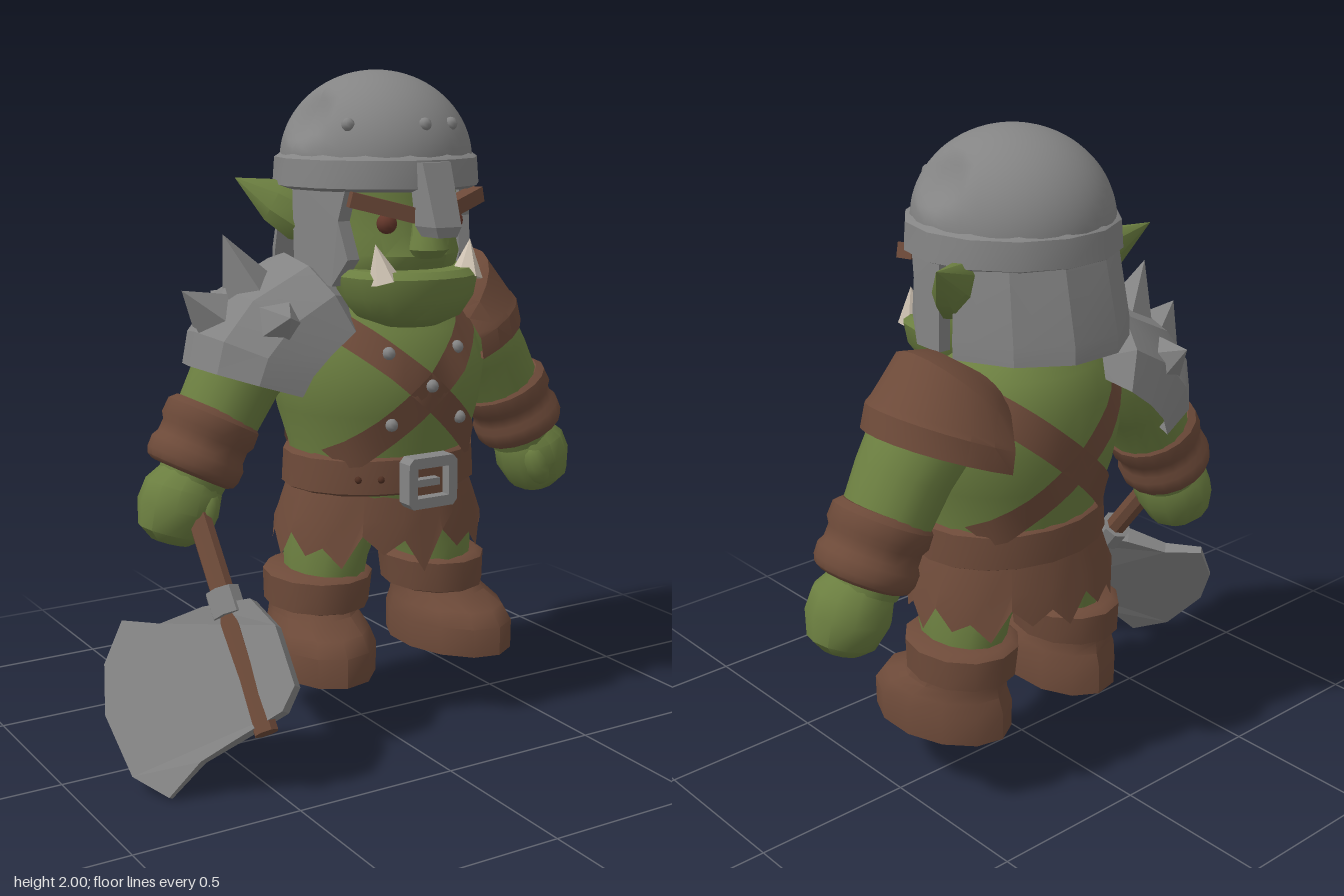
import * as THREE from 'three';
import { toCreasedNormals } from 'three/addons/utils/BufferGeometryUtils.js';

const CX = 0.09; // body's mirror plane
const V = (x, y, z) => new THREE.Vector3(x, y, z);
const outline = pts => new THREE.Shape(pts.map(p => new THREE.Vector2(...p)));
const mat = (name, color, side = THREE.FrontSide) => {
  const m = new THREE.MeshStandardMaterial({ color, side });
  m.name = name;
  return m;
};

// Grid of points (rows) to a surface; closed rows wrap round and get caps.
function skin(rows, closed, caps = closed, crease = 0.7) {
  const n = rows[0].length, pos = [], idx = [];
  rows.forEach(r => r.forEach(p => pos.push(p.x, p.y, p.z)));
  for (let j = 0; j < rows.length - 1; j++)
    for (let i = 0; i < (closed ? n : n - 1); i++) {
      const k = (i + 1) % n, a = j * n + i, b = j * n + k;
      idx.push(a, a + n, b, b, a + n, b + n);
    }
  if (caps) [0, rows.length - 1].forEach((j, top) => {
    const c = rows[j].reduce((s, p) => s.add(p), V(0, 0, 0)).divideScalar(n);
    const ci = pos.push(c.x, c.y, c.z) / 3 - 1;
    for (let i = 0; i < n; i++) {
      const a = j * n + i, b = j * n + (i + 1) % n;
      top ? idx.push(ci, b, a) : idx.push(ci, a, b);
    }
  });
  const g = new THREE.BufferGeometry();
  g.setAttribute('position', new THREE.Float32BufferAttribute(pos, 3));
  g.setIndex(idx);
  return toCreasedNormals(g, crease);
}

// Ellipse rings [x, y, z, rx, rz], from bottom to top, tilted about z.
const loft = (rings, n = 20, tilt = 0) => skin(rings.map(([x, y, z, rx, rz]) =>
  Array.from({ length: n }, (_, i) => {
    const a = i / n * Math.PI * 2, u = Math.cos(a) * rx;
    return V(x + u * Math.cos(tilt), y + u * Math.sin(tilt), z + Math.sin(a) * rz);
  })), true);

// Half arches [ax, ay, bx, by, halfDepth] bulging from a towards b.
const arches = (rows, z, n, crease) => skin(rows.map(([ax, ay, bx, by, h]) =>
  Array.from({ length: n + 1 }, (_, i) => {
    const t = i / n * Math.PI, s = Math.sin(t);
    return V(ax + (bx - ax) * s, ay + (by - ay) * s, z + Math.cos(t) * h);
  })), false, false, crease);

// Torso sections: y, half width, half depth, z centre
const TORSO = [[0.6, 0.24, 0.2, -0.05], [0.76, 0.285, 0.24, -0.045], [0.88, 0.29, 0.245, -0.045], [1.0, 0.325, 0.28, -0.05],
  [1.12, 0.345, 0.295, -0.055], [1.24, 0.32, 0.265, -0.08], [1.33, 0.25, 0.21, -0.1], [1.4, 0.15, 0.14, -0.1]];
function torsoZ(x, y, side) {
  let i = 0;
  while (i < TORSO.length - 2 && TORSO[i + 1][0] < y) i++;
  const f = (y - TORSO[i][0]) / (TORSO[i + 1][0] - TORSO[i][0]);
  const [, rx, rz, zc] = TORSO[i].map((v, k) => v + (TORSO[i + 1][k] - v) * f);
  return zc + side * (rz * Math.sqrt(Math.max(0.04, 1 - ((x - CX) / rx) ** 2)) + 0.015);
}

export function createModel() {
  const root = new THREE.Group();
  const skinM = mat('green skin', 0x6b7e40), leather = mat('brown leather', 0x6d4a39, THREE.DoubleSide);
  const steel = mat('grey steel', 0x848484, THREE.DoubleSide), ivory = mat('ivory', 0xd0c4b4);
  const dark = mat('dark brown', 0x4f2f22), eyeM = mat('eye brown', 0x63362a);
  const add = (name, g, m, p) => {
    const o = new THREE.Mesh(g, m);
    o.name = name;
    if (p) o.position.set(...p);
    root.add(o);
    return o;
  };
  // Turned shape between two points; profile is [radius, fraction of length]
  const turned = (name, from, to, profile, sides, m) => {
    const d = to.clone().sub(from), len = d.length();
    const g = new THREE.LatheGeometry(profile.map(([r, t]) => new THREE.Vector2(r, t * len)), sides);
    const o = add(name, toCreasedNormals(g, 0.7), m, from.toArray());
    o.quaternion.setFromUnitVectors(V(0, 1, 0), d.normalize());
    return o;
  };
  const rod = (name, a, b, r, sides, m) => turned(name, a, b, [[0, 0], [r, 0], [r, 1], [0, 1]], sides, m);
  const spike = (name, a, b, r, sides, m) => turned(name, a, b, [[0, 0], [r, 0], [0, 1]], sides, m);
  const rivet = (x, y, z) => add('rivet', new THREE.SphereGeometry(0.02, 8, 6), steel, [x, y, z]);

  // Torso, crossed straps front and back
  add('torso', loft(TORSO.map(([y, rx, rz, z]) => [CX, y, z, rx, rz]), 24), skinM);
  for (const f of [1, -1]) for (const s of [1, -1]) {
    const rows = [-1, 1].map(e => Array.from({ length: 15 }, (_, i) => {
      const t = i / 14, x = CX + s * (-0.29 + 0.53 * t) + s * e * 0.03, y = 1.32 - 0.46 * t + e * 0.034;
      return V(x, y, torsoZ(x, y, f));
    }));
    add('chestStrap', skin(rows, false), leather);
  }
  for (const [x, y] of [[-0.03, 1.19], [0.21, 1.19], [0.09, 1.09], [-0.03, 0.98], [0.21, 0.98]])
    rivet(x, y, torsoZ(x, y, 1));

  // Belt, buckle and ragged skirt
  add('belt', loft([[CX, 0.755, -0.045, 0.295, 0.24], [CX, 0.765, -0.045, 0.314, 0.26], [CX, 0.865, -0.045, 0.308, 0.256],
    [CX, 0.88, -0.045, 0.285, 0.235]], 18), leather);
  const frame = outline([[-0.085, -0.06], [-0.07, -0.077], [0.07, -0.077], [0.085, -0.06], [0.085, 0.06], [0.07, 0.077],
    [-0.07, 0.077], [-0.085, 0.06]]);
  frame.holes.push(outline([[-0.055, -0.045], [-0.055, 0.045], [0.055, 0.045], [0.055, -0.045]]));
  add('buckle', new THREE.ExtrudeGeometry(frame, { depth: 0.055, bevelEnabled: false }), steel, [CX, 0.802, 0.21]);
  add('bucklePlate', new THREE.BoxGeometry(0.12, 0.1, 0.03), leather, [CX, 0.802, 0.215]);
  add('buckleProng', new THREE.BoxGeometry(0.08, 0.022, 0.03), steel, [CX - 0.015, 0.802, 0.245]);
  for (const x of [-0.105, -0.045])
    add('beltHole', new THREE.SphereGeometry(0.011, 8, 6), dark, [x, 0.81, -0.045 + 0.258 * Math.sqrt(1 - ((x - CX) / 0.31) ** 2)]);
  const HEM = [0.55, 0.62, 0.58, 0.64, 0.54, 0.6, 0.57, 0.635];
  add('skirt', skin([0, 1, 2].map(k => Array.from({ length: 32 }, (_, i) => {
    const a = i / 32 * Math.PI * 2, hem = i === 8 ? 0.515 : HEM[i % 8];
    const y = [hem, 0.68, 0.78][k], r = [1, 0.95, 0.85][k];
    return V(CX + Math.cos(a) * 0.345 * r, y, -0.05 + Math.sin(a) * 0.27 * r);
  })), true, false), leather);

  for (const s of [1, -1]) {
    const X = d => CX + s * d;
    // Leg and boot
    add('leg', loft([[X(0.2), 0.42, -0.05, 0.11, 0.14], [X(0.19), 0.55, -0.05, 0.12, 0.165], [X(0.14), 0.7, -0.05, 0.14, 0.18]], 14), skinM);
    const foot = add('boot', loft([[0, 0.2, 0.02, 0.16, 0.24], [0, 0.29, 0.02, 0.163, 0.24], [0, 0.335, 0.01, 0.148, 0.215],
      [0, 0.37, -0.03, 0.133, 0.17], [0, 0.42, -0.05, 0.13, 0.15]], 12), leather, [X(0.236), 0, -0.025]);
    foot.rotation.y = s * 0.16;
    add('bootCuff', loft([[X(0.215), 0.38, -0.065, 0.13, 0.16], [X(0.215), 0.39, -0.065, 0.155, 0.185],
      [X(0.21), 0.485, -0.065, 0.162, 0.192], [X(0.21), 0.5, -0.065, 0.14, 0.168]], 12), leather);
    // Arm, hand and wrapped bracer
    const tilt = s * 0.47, Z = -0.122;
    add('arm', loft([[X(0.61), 0.8, Z, 0.1, 0.11], [X(0.525), 0.976, Z, 0.125, 0.135], [X(0.455), 1.1, Z, 0.135, 0.145],
      [X(0.38), 1.2, Z, 0.15, 0.155], [X(0.31), 1.31, Z, 0.12, 0.13], [X(0.28), 1.36, Z, 0.05, 0.06]], 18, tilt), skinM);
    const along = (t, r) => [X(0.565 - 0.453 * t), 0.92 + 0.89 * t, Z, r, r + 0.005];
    add('bracer', loft([along(-0.105, 0.12), along(-0.095, 0.138), along(-0.075, 0.146), along(-0.04, 0.147), along(-0.02, 0.136),
      along(0.015, 0.135), along(0.035, 0.147), along(0.08, 0.145), along(0.1, 0.125)], 18, tilt), leather);
    add('hand', loft([[X(0.685), 0.63, -0.115, 0.06, 0.06], [X(0.68), 0.66, -0.115, 0.1, 0.1], [X(0.655), 0.73, -0.115, 0.122, 0.127],
      [X(0.635), 0.79, -0.115, 0.115, 0.12], [X(0.605), 0.84, -0.12, 0.085, 0.09]], 12, s * 0.3), skinM);
    const thumb = add('thumb', new THREE.SphereGeometry(1, 10, 8), skinM, [X(0.61), 0.72, -0.035]);
    thumb.scale.set(0.042, 0.075, 0.045);
    thumb.rotation.z = s * 0.4;
    // Leaf-shaped ear, eye, brow and tusk
    turned('ear', V(X(0.17), 1.54, -0.085), V(X(0.4), 1.685, -0.215), [[0.06, 0], [0.092, 0.25], [0.075, 0.55], [0, 1]], 8, skinM).scale.z = 0.65;
    add('eye', new THREE.SphereGeometry(0.03, 10, 8), eyeM, [X(0.115), 1.565, 0.182]);
    const brow = add('brow', new THREE.BoxGeometry(0.2, 0.045, 0.05), leather, [X(0.13), 1.612, 0.185]);
    brow.rotation.set(0, s * 0.35, s * 0.25);
    spike('tusk', V(X(0.142), 1.4, 0.215), V(X(0.165), 1.51, 0.2), 0.05, 6, ivory);
    // Cheek guard, sheared so its front edge turns in
    const cheek = new THREE.ExtrudeGeometry(outline([[0.13, 1.69], [0.1, 1.57], [0.13, 1.46], [0.08, 1.38], [-0.07, 1.4],
      [-0.08, 1.69]]), { depth: 0.04, bevelEnabled: false });
    const cp = cheek.attributes.position;
    for (let i = 0; i < cp.count; i++) {
      const z = cp.getX(i), d = 0.24 + cp.getZ(i) - Math.max(0, z) * 0.5;
      cp.setXYZ(i, X(d), cp.getY(i), z);
    }
    if (s > 0) { // keep faces outward on the mirrored side
      for (let i = 0; i < cp.count; i += 3) {
        const a = [cp.getX(i), cp.getY(i), cp.getZ(i)];
        cp.setXYZ(i, cp.getX(i + 1), cp.getY(i + 1), cp.getZ(i + 1));
        cp.setXYZ(i + 1, ...a);
      }
    }
    cheek.computeVertexNormals();
    add('cheekGuard', cheek, steel);
  }

  // Head, jaw and nose
  add('head', loft([[CX, 1.3, -0.08, 0.15, 0.16], [CX, 1.4, -0.02, 0.2, 0.23], [CX, 1.47, -0.02, 0.215, 0.255], [CX, 1.53, -0.03, 0.21, 0.235],
    [CX, 1.64, -0.04, 0.22, 0.25], [CX, 1.74, -0.05, 0.22, 0.25]], 20), skinM);
  add('jaw', loft([[CX, 1.26, 0.11, 0.1, 0.1], [CX, 1.29, 0.11, 0.165, 0.16], [CX, 1.35, 0.11, 0.21, 0.19], [CX, 1.41, 0.11, 0.222, 0.2],
    [CX, 1.43, 0.11, 0.2, 0.18]], 16), skinM);
  add('nose', loft([[CX, 1.465, 0.22, 0.045, 0.04], [CX, 1.49, 0.225, 0.062, 0.058], [CX, 1.53, 0.22, 0.05, 0.045],
    [CX, 1.6, 0.2, 0.035, 0.03]], 10), skinM);

  // Helmet: dented dome, rim, nose guard, neck guard
  const dome = new THREE.SphereGeometry(1, 40, 20, 0, Math.PI * 2, 0, Math.PI / 2), dp = dome.attributes.position;
  const dents = [V(0.84, 0.52, 0.1), V(-0.86, 0.5, 0.05)];
  for (let i = 0; i < dp.count; i++) {
    const p = V(0, 0, 0).fromBufferAttribute(dp, i);
    const k = dents.reduce((m, d) => Math.min(m, 0.88 + 0.12 * Math.min(1, p.distanceTo(d) / 0.36) ** 2), 1);
    dp.setXYZ(i, CX + p.x * k * 0.287, 1.735 + p.y * k * 0.265, -0.065 + p.z * k * 0.298);
  }
  dome.computeVertexNormals();
  add('helmetDome', dome, steel);
  add('helmetRim', loft([[CX, 1.655, -0.062, 0.285, 0.295], [CX, 1.665, -0.062, 0.312, 0.318], [CX, 1.745, -0.062, 0.306, 0.312],
    [CX, 1.765, -0.062, 0.275, 0.285]], 14), steel);
  for (const x of [-0.11, CX, 0.195]) rivet(x, 1.845, -0.065 + 0.268 * Math.sqrt(1 - ((x - CX) / 0.262) ** 2));
  add('noseGuard', skin([[1.53, 0.04, 0.25, 0.325], [1.56, 0.055, 0.24, 0.33], [1.74, 0.06, 0.21, 0.265]].map(([y, w, a, b]) =>
    [V(CX + w, y, a), V(CX + w * 0.8, y, b), V(CX - w * 0.8, y, b), V(CX - w, y, a)]), true, true, 0.2), steel);
  add('neckGuard', skin([[1.42, 0.285, 0.325], [1.405, 0.31, 0.36], [1.46, 0.31, 0.357], [1.7, 0.285, 0.3]].map(([y, rx, rz]) =>
    Array.from({ length: 6 }, (_, i) => {
      const a = Math.PI * (1.08 + 0.84 * i / 5);
      return V(CX + Math.cos(a) * rx, y, -0.065 + Math.sin(a) * rz);
    })), false, false, 0.3), steel);

  // Left shoulder: leather cap with a rolled rim
  add('leatherShoulderPad', arches([[0.36, 1.14, 0.6, 1.235, 0.225], [0.365, 1.125, 0.635, 1.23, 0.25], [0.355, 1.19, 0.615, 1.3, 0.25],
    [0.35, 1.205, 0.598, 1.315, 0.242], [0.335, 1.25, 0.5, 1.44, 0.215], [0.31, 1.27, 0.42, 1.43, 0.18], [0.27, 1.27, 0.28, 1.34, 0.12]],
  -0.125, 12, 0.5), leather);

  // Right shoulder: steel plates with spikes
  add('steelShoulderPad', arches([[-0.26, 1.09, -0.48, 1.16, 0.21], [-0.27, 1.07, -0.52, 1.15, 0.235], [-0.24, 1.13, -0.5, 1.25, 0.245],
    [-0.18, 1.19, -0.4, 1.37, 0.25], [-0.1, 1.25, -0.2, 1.465, 0.25], [-0.06, 1.28, -0.08, 1.4, 0.18]], -0.115, 6, 0.3), steel);
  for (const [a, b, r] of [[V(-0.3, 1.27, 0.03), V(-0.325, 1.31, 0.15), 0.1], [V(-0.3, 1.27, -0.27), V(-0.32, 1.33, -0.37), 0.1],
    [V(-0.33, 1.36, -0.1), V(-0.41, 1.53, -0.1), 0.09], [V(-0.42, 1.28, -0.12), V(-0.545, 1.375, -0.1), 0.1]])
    spike('shoulderSpike', a, b, r, 5, steel);

  // Axe: blade in a plane of w (towards the edge) and h (down the handle)
  const h = V(0, -0.79, 0.61).normalize(), w = V(-0.74, -0.385, -0.55);
  w.addScaledVector(h, -w.dot(h)).normalize();
  const o = V(-0.54, 0.35, 0.26), at = v => o.clone().addScaledVector(h, v);
  rod('axeHandle', at(-0.5), at(0.2), 0.036, 8, leather);
  rod('axeCollar', at(-0.23), at(-0.15), 0.052, 8, steel);
  const blade = new THREE.ExtrudeGeometry(outline([[-0.08, -0.17], [-0.125, -0.07], [-0.125, 0.11], [-0.07, 0.165], [0.08, 0.19],
    [0.2, 0.21], [0.32, 0.27], [0.41, 0.175], [0.44, -0.02], [0.4, -0.16], [0.31, -0.26], [0.2, -0.205], [0.06, -0.2]]),
  { depth: 1, bevelEnabled: false });
  const bp = blade.attributes.position;
  for (let i = 0; i < bp.count; i++) bp.setZ(i, (bp.getZ(i) - 0.5) * (0.07 - 0.14 * Math.abs(bp.getX(i))));
  blade.applyMatrix4(new THREE.Matrix4().makeBasis(w, h, w.clone().cross(h)).setPosition(o));
  blade.computeVertexNormals();
  add('axeBlade', blade, steel);
  return root;
}
